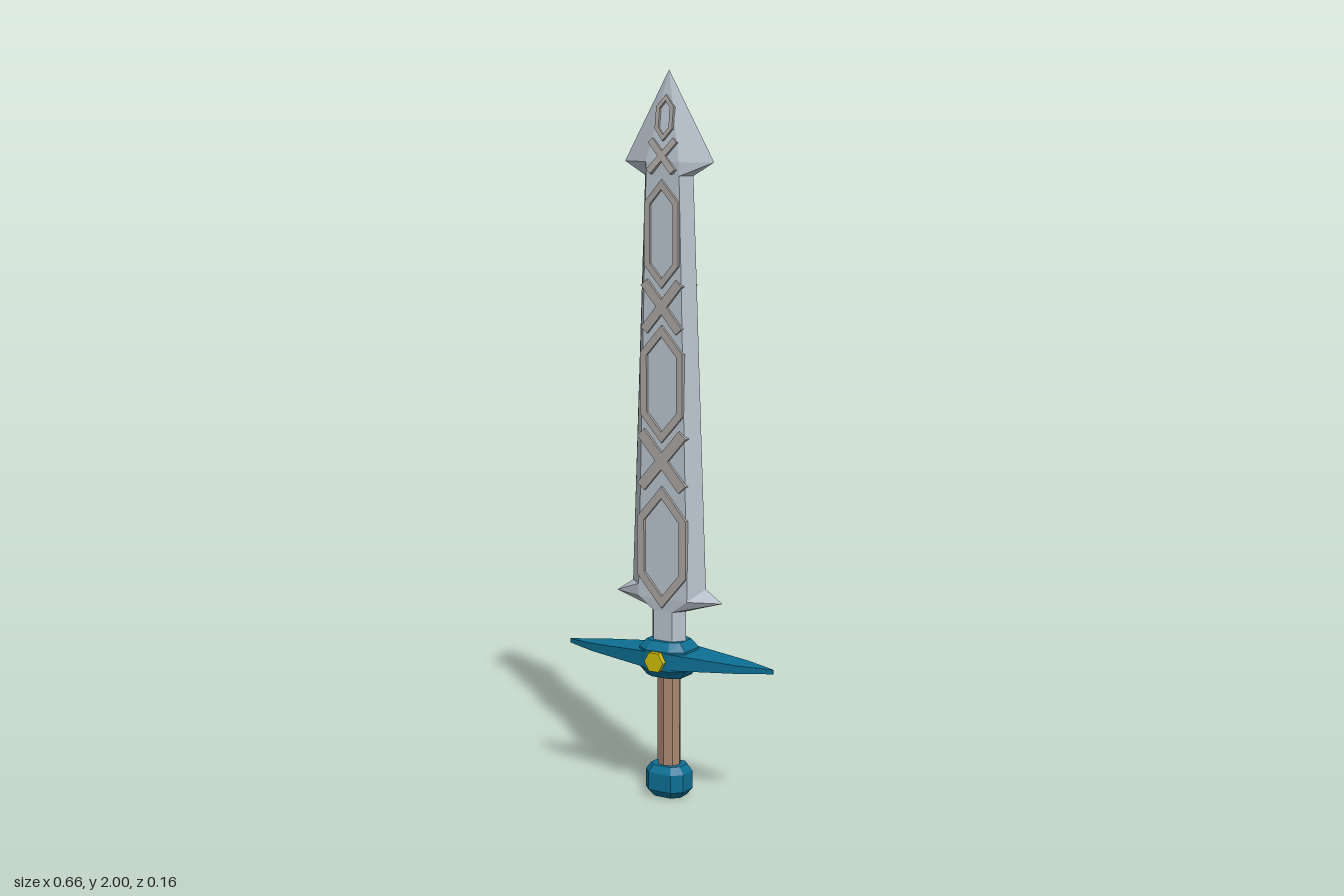
import * as THREE from 'three';

const mat = (color) => new THREE.MeshStandardMaterial({ color, flatShading: true });

// Joins rings of [x, z] points stacked along y, capped at both ends
function loft(sections) {
  const pos = [];
  const n = sections[0].ring.length;
  const p = (s, j) => [s.ring[j % n][0], s.y, s.ring[j % n][1]];
  for (let i = 0; i < sections.length - 1; i++) {
    const a = sections[i], b = sections[i + 1];
    for (let j = 0; j < n; j++) {
      pos.push(...p(a, j), ...p(b, j), ...p(a, j + 1), ...p(a, j + 1), ...p(b, j), ...p(b, j + 1));
    }
  }
  const first = sections[0], last = sections[sections.length - 1];
  for (let j = 1; j < n - 1; j++) {
    pos.push(...p(first, 0), ...p(first, j), ...p(first, j + 1));
    pos.push(...p(last, 0), ...p(last, j + 1), ...p(last, j));
  }
  const g = new THREE.BufferGeometry();
  g.setAttribute('position', new THREE.Float32BufferAttribute(pos, 3));
  g.computeVertexNormals();
  return g;
}

// Six-sided blade section: half width w, half width of the flat f, half thickness t
const hexRing = (w, f, t) => [[w, 0], [f, t], [-f, t], [-w, 0], [-f, -t], [f, -t]];

// Rectangle with cut corners: half sizes x, z and the corner points cx, cz
const octRing = (x, z, cx, cz) => [
  [x, cz], [cx, z], [-cx, z], [-x, cz], [-x, -cz], [-cx, -z], [cx, -z], [x, -cz],
];

// Tall hexagon outline: half width w, tips at y0 and y1, slanted ends of height s
const hexPoints = (w, y0, y1, s) => [
  [0, y0], [w, y0 + s], [w, y1 - s], [0, y1], [-w, y1 - s], [-w, y0 + s],
].map(([x, y]) => new THREE.Vector2(x, y));

export function createModel() {
  const model = new THREE.Group();
  const steel = mat(0xb9c3ce), trim = mat(0xaaa6a3), teal = mat(0x0d7094);
  const wood = mat(0xa88770), gold = mat(0xd0bd08);

  const add = (parent, name, geometry, material) => {
    const mesh = new THREE.Mesh(geometry, material);
    mesh.name = name;
    parent.add(mesh);
    return mesh;
  };

  // Blade with lower spikes and a barbed head: y, w, f, t
  const blade = [
    [0.42, 0.055, 0.03, 0.033],
    [0.53, 0.055, 0.03, 0.033],
    [0.565, 0.17, 0.078, 0.035],
    [0.60, 0.118, 0.078, 0.034],
    [1.72, 0.076, 0.052, 0.034],
    [1.757, 0.14, 0.052, 0.035],
    [2.0, 0, 0, 0],
  ].map(([y, w, f, t]) => ({ y, ring: hexRing(w, f, t) }));
  add(model, 'blade', loft(blade), steel);

  // Raised ornament: hexagon frames and crosses
  const frame = (parent, w, y0, y1, s, rim) => {
    const shape = new THREE.Shape(hexPoints(w, y0, y1, s));
    shape.holes.push(new THREE.Path(hexPoints(w - rim, y0 + rim * 1.5, y1 - rim * 1.5, s * (w - rim) / w)));
    const g = new THREE.ExtrudeGeometry(shape, { depth: 0.019, bevelEnabled: false });
    add(parent, 'hexagonFrame', g.translate(0, 0, -0.01), trim);
  };
  const cross = (parent, y, hw, hh, bar) => {
    for (const side of [-1, 1]) {
      const g = new THREE.BoxGeometry(2 * Math.hypot(hw, hh), bar, 0.019);
      const mesh = add(parent, 'crossBar', g, trim);
      mesh.position.set(0, y, -0.0005);
      mesh.rotation.z = side * Math.atan2(hh, hw);
    }
  };
  for (const turn of [0, Math.PI]) {
    const face = new THREE.Group();
    face.name = turn ? 'backOrnament' : 'frontOrnament';
    face.rotation.y = turn;
    model.add(face);

    const flat = new THREE.Group();
    flat.name = 'bladeOrnament';
    flat.position.z = 0.033;
    face.add(flat);
    frame(flat, 0.078, 0.54, 0.88, 0.09, 0.022);
    cross(flat, 0.95, 0.066, 0.075, 0.03);
    frame(flat, 0.067, 1.0, 1.32, 0.075, 0.02);
    cross(flat, 1.37, 0.055, 0.065, 0.026);
    frame(flat, 0.053, 1.42, 1.71, 0.06, 0.017);

    // Ornament leaning back along the head
    const head = new THREE.Group();
    head.name = 'headOrnament';
    head.position.set(0, 1.757, 0.034);
    head.rotation.x = -Math.atan2(0.035, 0.243);
    face.add(head);
    cross(head, 0.015, 0.038, 0.042, 0.018);
    frame(head, 0.027, 0.055, 0.178, 0.032, 0.011);
  }

  // Guard wings: x, half height, half depth
  const wings = [
    [-0.33, 0.006, 0.001], [-0.235, 0.011, 0.033], [-0.035, 0.023, 0.067],
    [0.035, 0.023, 0.067], [0.235, 0.011, 0.033], [0.33, 0.006, 0.001],
  ].map(([y, h, d]) => ({ y, ring: [[h, -d], [h, d], [-h, d], [-h, -d]] }));
  add(model, 'guardWings', loft(wings).rotateZ(-Math.PI / 2), teal).position.y = 0.397;

  // Guard centre block with chamfered top and bottom
  const block = [
    [0.345, 0.054, 0.046, 0.028, 0.03],
    [0.37, 0.074, 0.066, 0.037, 0.038],
    [0.424, 0.074, 0.066, 0.037, 0.038],
    [0.447, 0.054, 0.046, 0.028, 0.03],
  ].map(([y, ...o]) => ({ y, ring: octRing(...o) }));
  add(model, 'guardBlock', loft(block), teal);

  // Gem running through the guard, seen on both faces
  const gem = new THREE.CylinderGeometry(0.03, 0.03, 0.164, 6).rotateY(Math.PI / 6 * 3).rotateX(Math.PI / 2);
  add(model, 'gem', gem, gold).position.y = 0.396;

  // Grip
  const grip = new THREE.CylinderGeometry(0.034, 0.034, 0.28, 8);
  grip.scale(1, 1, 0.9);
  add(model, 'grip', grip, wood).position.y = 0.215;

  // Pommel
  const pommel = [
    [0, 0.045, 0.036, 0.026, 0.018],
    [0.02, 0.061, 0.051, 0.036, 0.025],
    [0.07, 0.061, 0.051, 0.036, 0.025],
    [0.09, 0.047, 0.038, 0.028, 0.02],
  ].map(([y, ...o]) => ({ y, ring: octRing(...o) }));
  add(model, 'pommel', loft(pommel), teal);

  return model;
}
